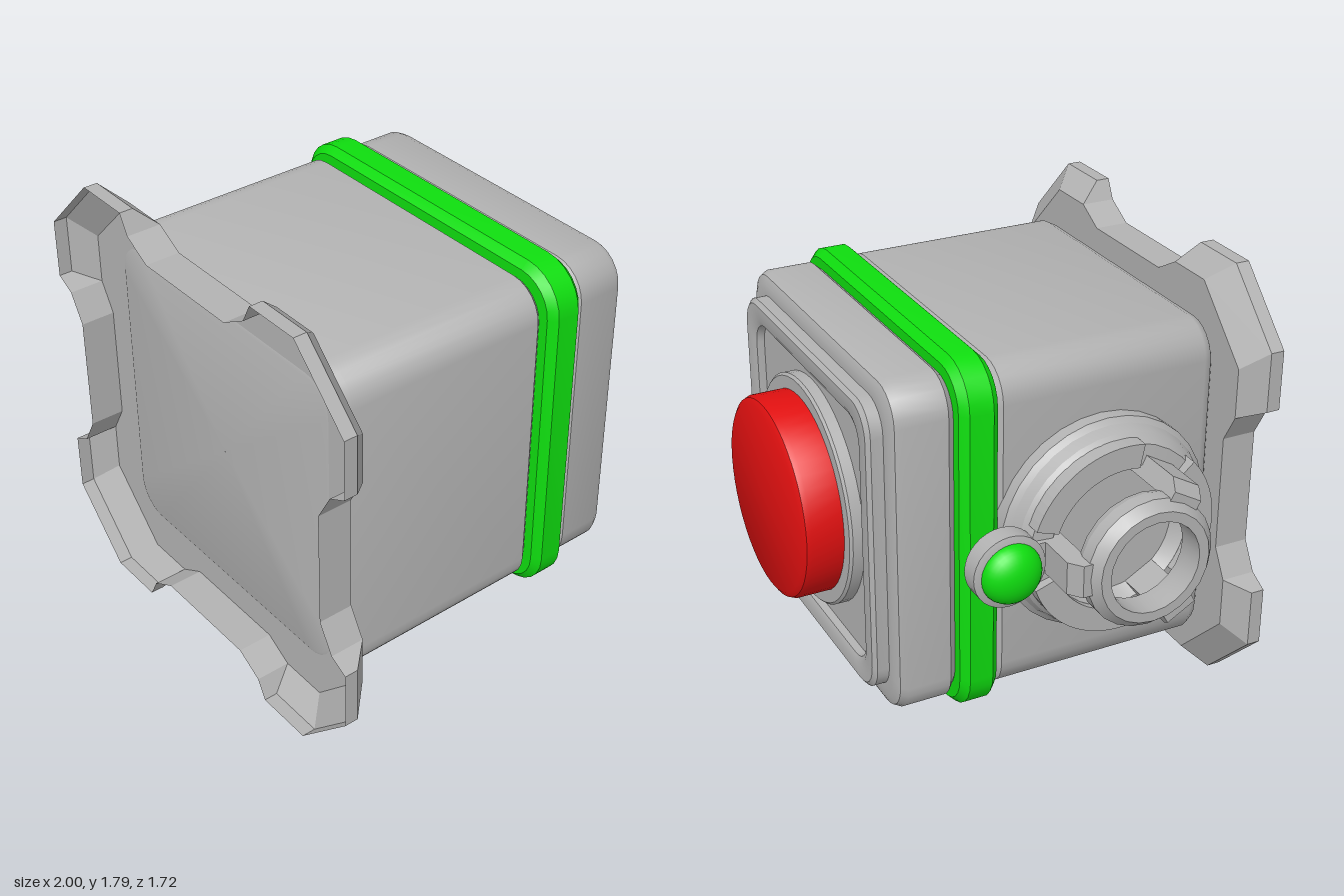
import * as THREE from 'three';
import { toCreasedNormals } from 'three/addons/utils/BufferGeometryUtils.js';

const CX = 0.107, CY = 0.895;

// Skins a list of equal-length rings of [x, y, z], ordered front to back
function loft(rings, crease) {
  const n = rings[0].length, pos = [];
  for (let i = 0; i < rings.length - 1; i++) {
    for (let j = 0; j < n; j++) {
      const k = (j + 1) % n;
      const a = rings[i][j], b = rings[i][k], c = rings[i + 1][j], d = rings[i + 1][k];
      pos.push(...a, ...c, ...b, ...b, ...c, ...d);
    }
  }
  const g = new THREE.BufferGeometry();
  g.setAttribute('position', new THREE.Float32BufferAttribute(pos, 3));
  return toCreasedNormals(g, crease);
}

// Rounded square ring, counter-clockwise from the front
function roundedSquare(z, half, radius) {
  const pts = [], steps = 6;
  for (let q = 0; q < 4; q++) {
    const mid = (q + 0.5) * Math.PI / 2, off = (half - radius) * Math.SQRT2;
    for (let i = 0; i <= steps; i++) {
      const a = (q + i / steps) * Math.PI / 2;
      pts.push([Math.cos(mid) * off + Math.cos(a) * radius, Math.sin(mid) * off + Math.sin(a) * radius, z]);
    }
  }
  return pts;
}

// Block made from [z, half width] steps
function squareBlock(profile, corner) {
  return loft(profile.map(([z, h]) => roundedSquare(z, h, Math.max(h * 0.2, h - 0.685 + corner))), 0.6);
}

// Four-sided outline from a quarter list of [x, y], turned about the middle
function outline(quarter, z) {
  const pts = [];
  for (let q = 0; q < 4; q++) {
    const c = [1, 0, -1, 0][q], s = [0, 1, 0, -1][q];
    for (const [x, y] of quarter) pts.push([x * c - y * s, x * s + y * c, z]);
  }
  return pts;
}

function lathe(points, segments, crease = 0.6) {
  const g = new THREE.LatheGeometry(points.map(p => new THREE.Vector2(...p)), segments);
  return toCreasedNormals(g, crease);
}

export function createModel() {
  const grey = new THREE.MeshStandardMaterial({ color: 0xb2b2b2, side: THREE.DoubleSide });
  grey.name = 'grey';
  const green = new THREE.MeshStandardMaterial({ color: 0x0fde0f });
  green.name = 'green';
  const red = new THREE.MeshStandardMaterial({ color: 0xe01010 });
  red.name = 'red';

  const model = new THREE.Group();
  const main = new THREE.Group();
  main.name = 'mainBody';
  main.position.set(CX, CY, 0);
  model.add(main);
  const add = (parent, name, geo, mat) => {
    const m = new THREE.Mesh(geo, mat);
    m.name = name;
    parent.add(m);
    return m;
  };

  // Open front dish with four flared corner tabs
  const wide = [[0.75, 0.238], [0.815, 0.353], [0.893, 0.393], [0.893, 0.633],
    [0.633, 0.893], [0.393, 0.893], [0.353, 0.815], [0.238, 0.75]];
  const narrow = [[0.75, 0.238], [0.815, 0.353], [0.815, 0.353], [0.815, 0.555],
    [0.555, 0.815], [0.353, 0.815], [0.353, 0.815], [0.238, 0.75]];
  const back = outline(narrow, 0.715);
  add(main, 'frontDishWall', loft([outline(wide, 0.855), outline(wide, 0.8), back], 0.1), grey);
  const sheet = new THREE.ShapeGeometry(new THREE.Shape(back.map(p => new THREE.Vector2(p[0], p[1]))));
  sheet.translate(0, 0, 0.715);
  add(main, 'frontDishPlate', sheet, grey);

  // Box body in front of the band
  add(main, 'frontBody', squareBlock([[0.719, 0.001], [0.719, 0.62], [0.708, 0.645], [0.69, 0.668],
    [0.655, 0.685], [-0.19, 0.685], [-0.23, 0.65], [-0.3, 0.6]], 0.14), grey);

  // Green band around the body
  add(main, 'band', squareBlock([[-0.22, 0.6], [-0.22, 0.7], [-0.25, 0.73], [-0.345, 0.73],
    [-0.375, 0.7], [-0.375, 0.6]], 0.13), green);

  // Rear body with raised rim and recessed panel
  add(main, 'rearBody', squareBlock([[-0.3, 0.6], [-0.365, 0.65], [-0.405, 0.685], [-0.58, 0.685],
    [-0.608, 0.672], [-0.622, 0.645], [-0.622, 0.605], [-0.67, 0.605], [-0.685, 0.59],
    [-0.685, 0.535], [-0.675, 0.515], [-0.645, 0.51], [-0.645, 0.001]], 0.14), grey);

  // Big round button facing the back
  const button = new THREE.Group();
  button.name = 'button';
  button.rotation.x = -Math.PI / 2;
  main.add(button);
  add(button, 'buttonCollar', lathe([[0.46, 0.63], [0.46, 0.69], [0.45, 0.7], [0.38, 0.7]], 48), grey);
  add(button, 'buttonCap', lathe([[0.4, 0.69], [0.4, 0.825], [0.392, 0.845], [0.372, 0.858], [0, 0.86]], 48), red);

  // Side fitting: local y points out of the right side, local x points up
  const fitting = new THREE.Group();
  fitting.name = 'sideFitting';
  fitting.position.set(-0.575, CY, 0.21);
  fitting.rotation.z = Math.PI / 2;
  model.add(fitting);
  add(fitting, 'fittingBase', lathe([[0.435, -0.02], [0.435, 0.055], [0.415, 0.075], [0.4, 0.12], [0.37, 0.16],
    [0.29, 0.17], [0.25, 0.12], [0, 0.12]], 32, 0.3), grey);

  // Three rim segments and three hooked arms
  const armShape = new THREE.Shape([[0.24, 0.11], [0.32, 0.11], [0.32, 0.345], [0.28, 0.395], [0.2, 0.395],
    [0.2, 0.315], [0.24, 0.3]].map(p => new THREE.Vector2(...p)));
  const arm = new THREE.ExtrudeGeometry(armShape, { depth: 0.13, bevelEnabled: false });
  arm.translate(0, 0, -0.065);
  const rimShape = new THREE.Shape();
  rimShape.absarc(0, 0, 0.385, -0.72, 0.72, false);
  rimShape.absarc(0, 0, 0.29, 0.72, -0.72, true);
  const rim = new THREE.ExtrudeGeometry(rimShape, { depth: 0.09, bevelEnabled: false, curveSegments: 8 });
  rim.rotateX(-Math.PI / 2);
  rim.translate(0, 0.11, 0);
  for (let i = 0; i < 3; i++) {
    const turn = Math.PI / 2 + i * Math.PI * 2 / 3;
    add(fitting, 'fittingArm', arm, grey).rotation.y = turn;
    add(fitting, 'rimSegment', rim, grey).rotation.y = turn + Math.PI / 3;
  }

  // Outer open ring held by the arms
  add(fitting, 'outerRing', lathe([[0.19, 0.3], [0.25, 0.3], [0.26, 0.33], [0.26, 0.385], [0.225, 0.425],
    [0.185, 0.425], [0.185, 0.34], [0.19, 0.3]], 24, 0.3), grey);

  // Signal lamp on its short bracket
  const lamp = new THREE.Group();
  lamp.name = 'lamp';
  lamp.position.z = -0.48;
  fitting.add(lamp);
  add(lamp, 'lampHousing', lathe([[0, 0.125], [0.13, 0.125], [0.145, 0.14], [0.145, 0.215], [0.12, 0.225],
    [0, 0.225]], 32), grey);
  const dome = new THREE.SphereGeometry(0.12, 28, 10, 0, Math.PI * 2, 0, Math.PI / 2);
  dome.scale(1, 0.7, 1);
  dome.translate(0, 0.221, 0);
  add(lamp, 'lampDome', dome, green);
  const bracket = new THREE.BoxGeometry(0.13, 0.07, 0.16);
  bracket.translate(0, 0.15, 0.16);
  add(lamp, 'lampBracket', bracket, grey);

  return model;
}
